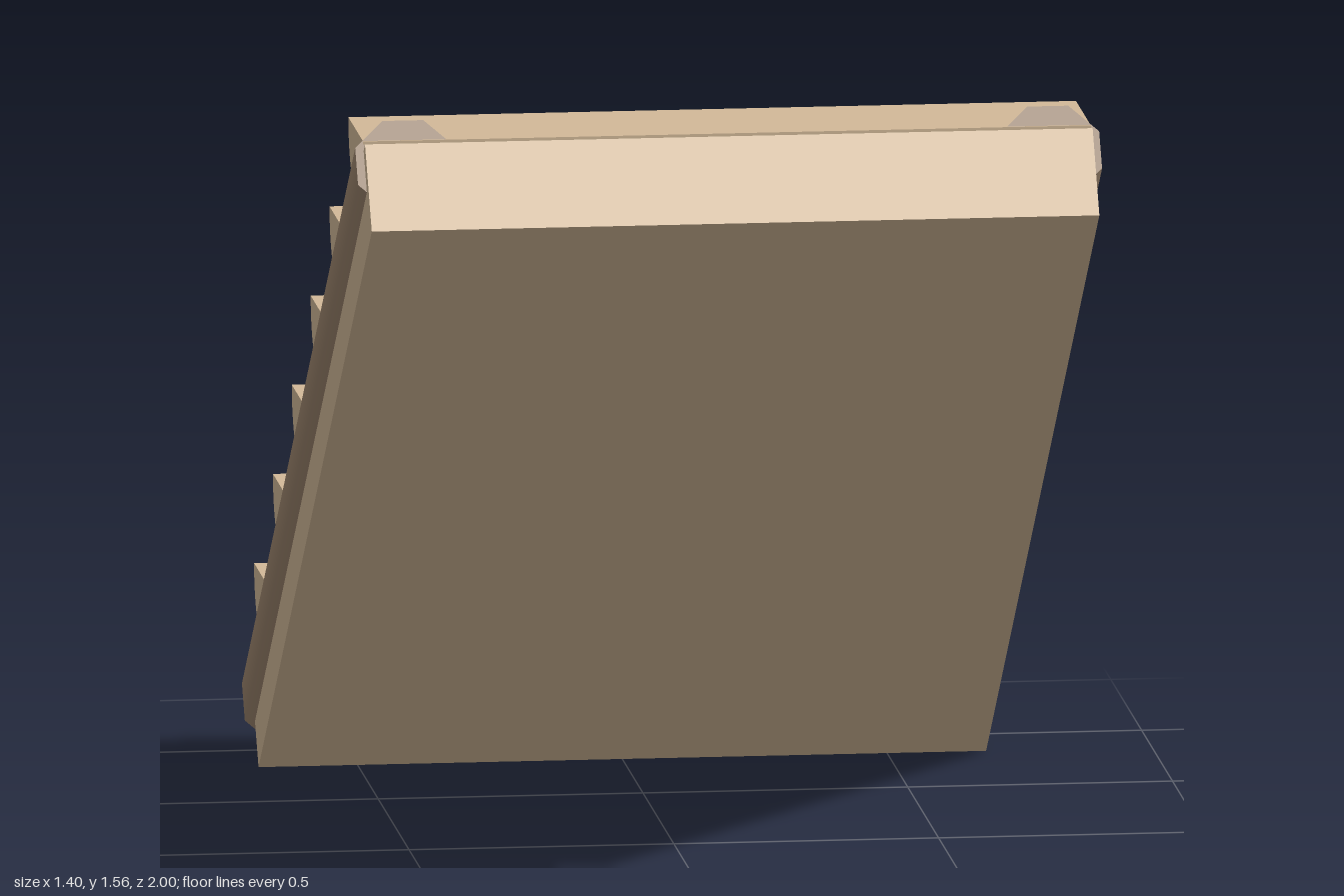
import * as THREE from 'three';
import { toCreasedNormals } from 'three/addons/utils/BufferGeometryUtils.js';

export function createModel() {
  const model = new THREE.Group();
  model.name = 'stairs';
  const plank = new THREE.MeshStandardMaterial({ color: 0xd2b998 });
  const bark = new THREE.MeshStandardMaterial({ color: 0x99826b });

  const width = 1.374, length = 2.295, thickness = 0.182;
  const steps = 6, stepRadius = 0.12;

  function add(parent, name, geometry, material, x, y, z) {
    const mesh = new THREE.Mesh(geometry, material);
    mesh.name = name;
    mesh.position.set(x, y, z);
    parent.add(mesh);
    return mesh;
  }

  // Sloping ramp, rising towards the front
  const ramp = new THREE.Group();
  ramp.name = 'ramp';
  ramp.position.set(0, 0.69, 0.083);
  ramp.rotation.x = -Math.atan2(1.38, 1.834);
  model.add(ramp);
  add(ramp, 'slab', new THREE.BoxGeometry(width, thickness, length), plank, 0, thickness / 2, 0);

  // Eight-sided side logs with a flat facet facing up
  const logRadius = 0.0935 / Math.cos(Math.PI / 8);
  const logGeometry = new THREE.CylinderGeometry(logRadius, logRadius, length, 8);
  logGeometry.rotateY(Math.PI / 8).rotateX(Math.PI / 2);
  for (const side of [1, -1]) {
    add(ramp, side > 0 ? 'leftLog' : 'rightLog', logGeometry, bark, side * 0.609, 0.15, -0.028);
  }

  // Half-round steps with level tops
  const halfRound = new THREE.Shape();
  halfRound.absarc(0, 0, stepRadius, Math.PI, Math.PI * 2, false);
  halfRound.closePath();
  const stepGeometry = toCreasedNormals(
    new THREE.ExtrudeGeometry(halfRound, { depth: width, bevelEnabled: false, curveSegments: 14 })
      .translate(0, 0, -width / 2)
      .rotateY(Math.PI / 2),
    0.6
  );
  for (let i = 0; i < steps; i++) {
    add(model, 'step' + (i + 1), stepGeometry, plank, 0, 0.376 + i * 0.2298, -0.786 + i * 0.3053);
  }

  return model;
}
